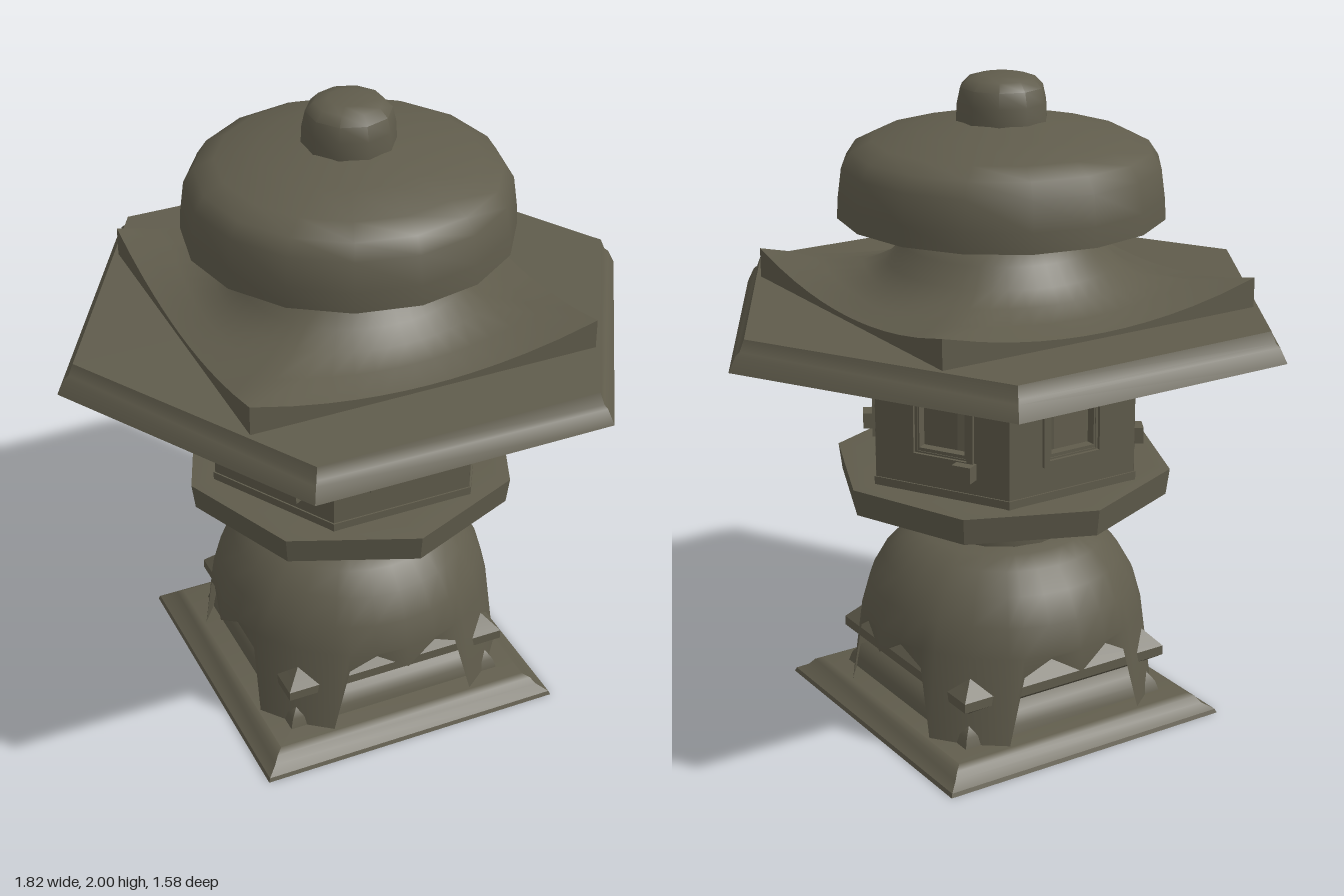
import * as THREE from 'three';
import { toCreasedNormals } from 'three/addons/utils/BufferGeometryUtils.js';

const stone = new THREE.MeshStandardMaterial({ color: 0x605c4c, side: THREE.DoubleSide });
stone.name = 'weatheredStone';

function add(parent, name, geometry) {
  const mesh = new THREE.Mesh(geometry, stone);
  mesh.name = name;
  parent.add(mesh);
  return mesh;
}

// Turned solid from [radius, height] pairs, bottom to top
function turned(points, sides, start = 0, crease = 0.6) {
  const pts = points.map(([r, y]) => new THREE.Vector2(r, y));
  return toCreasedNormals(new THREE.LatheGeometry(pts, sides, start), crease);
}

// Square and hexagonal versions: half widths, or corner radii with corners on x
const square = (points) => turned(points.map(([h, y]) => [h * Math.SQRT2, y]), 4, Math.PI / 4);
const hexagon = (points) => turned(points, 6, Math.PI / 2);

// Closed skin through rings of points: at(row, column) returns [x, y, z]
function loft(rows, columns, at, crease) {
  const position = [], index = [];
  for (let i = 0; i < rows; i++) for (let j = 0; j < columns; j++) position.push(...at(i, j));
  for (let i = 0; i < rows - 1; i++) {
    for (let j = 0; j < columns; j++) {
      const k = (j + 1) % columns;
      const a = i * columns + j, b = i * columns + k, c = a + columns, d = b + columns;
      index.push(a, b, d, a, d, c);
    }
  }
  const geometry = new THREE.BufferGeometry();
  geometry.setAttribute('position', new THREE.Float32BufferAttribute(position, 3));
  geometry.setIndex(index);
  return toCreasedNormals(geometry, crease);
}

// Rectangular panel with a rectangular hole, facing +z
function panel(w, y0, y1, hw, h0, h1, depth) {
  const rect = (path, x, a, b) => path.moveTo(-x, a).lineTo(x, a).lineTo(x, b).lineTo(-x, b).closePath();
  const shape = rect(new THREE.Shape(), w, y0, y1);
  shape.holes.push(rect(new THREE.Path(), hw, h0, h1));
  return new THREE.ExtrudeGeometry(shape, { depth, bevelEnabled: false });
}

// Bell-shaped foot with four cusped arches leaving a leg at each corner
function bellGeometry() {
  const arch = [[-30, 0.05], [-24, 0.27], [-13, 0.32], [0, 0.26], [13, 0.32], [24, 0.27], [30, 0.05], [45, 0.05]];
  const columns = [];
  for (let q = 0; q < 4; q++) for (const [deg, y] of arch) columns.push([(deg + q * 90) * Math.PI / 180, y]);
  const profile = [[0.44, 0.33], [0.415, 0.42], [0.37, 0.5], [0.315, 0.56], [0.26, 0.59], [0.19, 0.605], [0.001, 0.61]];
  return loft(profile.length + 1, columns.length, (i, j) => {
    const [angle, edge] = columns[j];
    const [r, y] = i === 0 ? [0.483 - edge * 0.14, edge] : profile[i - 1];
    return [r * Math.sin(angle), y, r * Math.cos(angle)];
  }, 0.75);
}

// Square roof with lifted corners sweeping up into a round neck
function sweptRoofGeometry() {
  const n = 48;
  // half width, height, roundness, corner lift
  const rows = [[0.535, 1.335, 0, 0], [0.535, 1.355, 0, 0.075], [0.45, 1.375, 0.3, 0.035], [0.385, 1.405, 0.7, 0.01],
    [0.34, 1.445, 0.95, 0], [0.295, 1.5, 1, 0], [0.26, 1.54, 1, 0], [0.21, 1.56, 1, 0]];
  return loft(rows.length, n, (i, j) => {
    const a = j / n * Math.PI * 2;
    const s = Math.sin(a), c = Math.cos(a);
    const [half, y, round, lift] = rows[i];
    const big = Math.max(Math.abs(s), Math.abs(c)), small = Math.min(Math.abs(s), Math.abs(c));
    const r = half * (round + (1 - round) / big);
    return [r * s, y + lift * (small / big) ** 2, r * c];
  }, 0.6);
}

export function createModel() {
  const model = new THREE.Group();
  model.name = 'stoneLantern';

  // Square plinth with a ridged bar that pokes out between the legs
  add(model, 'plinth', square([[0, 0], [0.49, 0], [0.485, 0.012], [0.455, 0.03], [0.44, 0.05], [0.42, 0.06], [0, 0.06]]));
  add(model, 'plinthBlock', square([[0.36, 0.055], [0.35, 0.09], [0.33, 0.12], [0.3, 0.14]]));
  add(model, 'ridgedBar', square([[0.3, 0.14], [0.365, 0.185], [0.365, 0.215], [0.31, 0.275], [0.29, 0.3], [0, 0.3]]));
  add(model, 'archedFoot', bellGeometry());

  // Bowl and octagonal rim carrying the house
  add(model, 'waist', turned([[0.22, 0.59], [0.22, 0.63]], 16));
  add(model, 'bowl', turned([[0, 0.61], [0.19, 0.612], [0.25, 0.625], [0.33, 0.665], [0.425, 0.735]], 8, 0, 0.9));
  add(model, 'rim', turned([[0, 0.728], [0.512, 0.728], [0.523, 0.81], [0.47, 0.815], [0, 0.815]], 8));
  add(model, 'houseLedge', hexagon([[0.45, 0.81], [0.45, 0.84], [0, 0.84]]));

  // Hexagonal house: six windowed walls around a round core
  const house = new THREE.Group();
  house.name = 'house';
  model.add(house);
  add(house, 'core', turned([[0.285, 0.83], [0.285, 1.26]], 12, 0, 0.3));
  for (let i = 0; i < 6; i++) {
    const side = new THREE.Group();
    side.name = 'houseSide' + (i + 1);
    side.rotation.y = i * Math.PI / 3;
    house.add(side);
    add(side, 'wall', panel(0.2225, 0.835, 1.255, 0.08, 0.945, 1.12, 0.035)).position.z = 0.35;
    add(side, 'windowFrame', panel(0.108, 0.922, 1.145, 0.088, 0.94, 1.127, 0.03)).position.z = 0.365;
    add(side, 'windowInnerFrame', panel(0.09, 0.938, 1.13, 0.075, 0.955, 1.112, 0.03)).position.z = 0.352;
    // Small latch blocks on the four slanted sides, nearest the front or back corner
    if (i % 3 !== 0) {
      const latch = add(side, 'latch', new THREE.BoxGeometry(0.06, 0.05, 0.07));
      latch.position.set(i % 3 === 1 ? -0.085 : 0.085, 0.912, 0.39);
    }
  }

  // Hexagonal eave slab and the swept square roof
  add(model, 'eaveSlab', hexagon([[0, 1.25], [0.912, 1.25], [0.888, 1.295], [0.875, 1.305], [0.86, 1.34], [0, 1.34]]));
  add(model, 'sweptRoof', sweptRoofGeometry());
  add(model, 'neck', turned([[0.25, 1.54], [0.25, 1.6]], 16));

  // Domed cap and knob
  add(model, 'cap', turned([[0, 1.59], [0.49, 1.59], [0.487, 1.65], [0.475, 1.74], [0.445, 1.785],
    [0.385, 1.815], [0.26, 1.845], [0.13, 1.87], [0, 1.875]], 16, 0, 0.75));
  add(model, 'knob', turned([[0.138, 1.86], [0.135, 1.92], [0.125, 1.965], [0.1, 1.99], [0.06, 2], [0, 2]], 10, 0, 0.75));

  return model;
}
